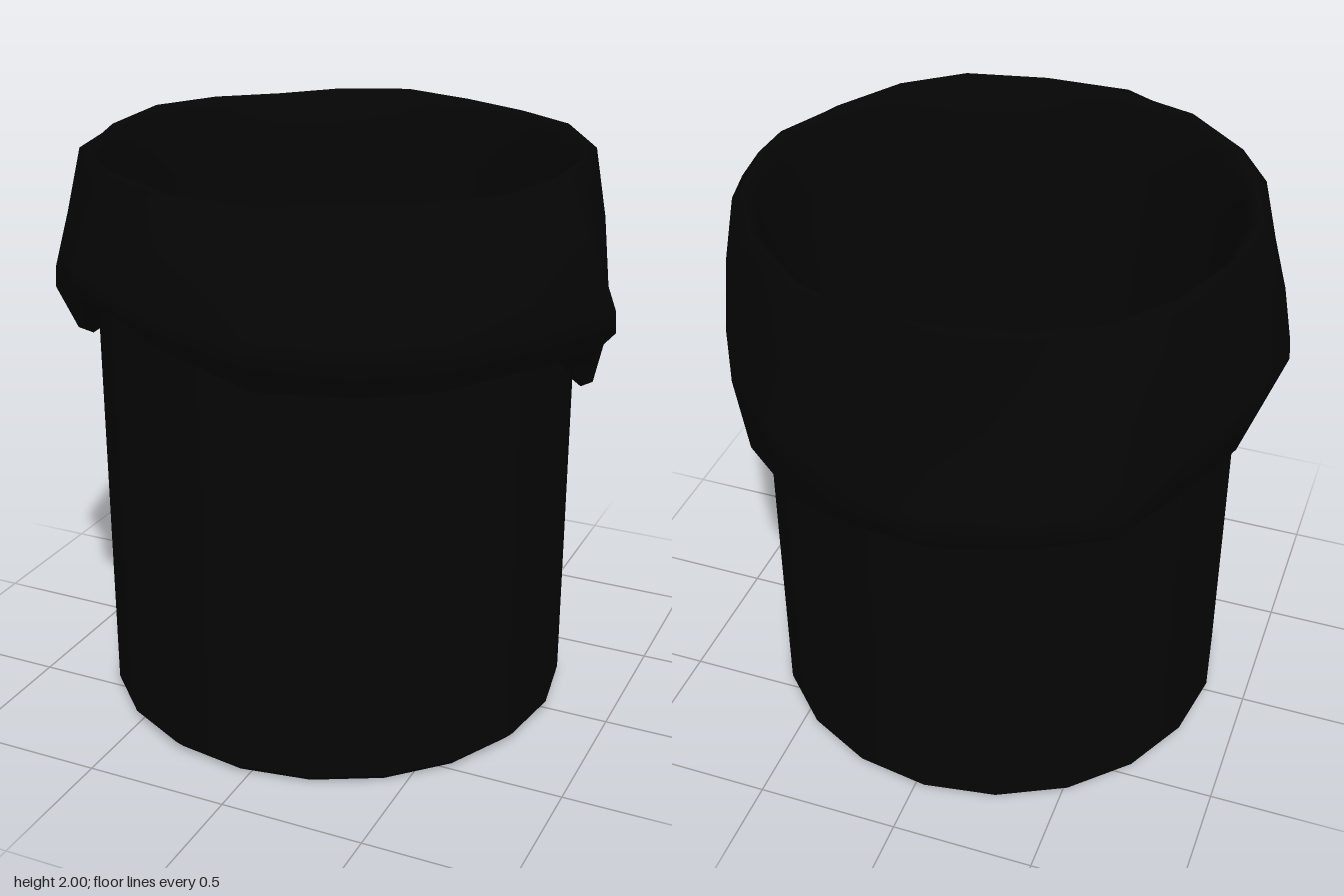
import * as THREE from 'three';

const CX = -0.04; // the bin sits slightly off centre under the lopsided bag
const RADIUS = 0.817;

// Bag stations around the bin:
// [angle in degrees from +x towards +z, widest radius, hem height, height of widest point, flare above it]
const STATIONS = [
  [0, 0.94, 1.27, 1.48, 0.5], [10, 1.055, 1.42, 1.56, 0.6], [27, 0.97, 1.41, 1.56, 0.55],
  [45, 0.97, 1.40, 1.56, 0.5], [62, 0.967, 1.40, 1.56, 0.5], [82, 0.975, 1.41, 1.57, 0.5],
  [102, 0.98, 1.50, 1.62, 0.5], [123, 0.99, 1.57, 1.68, 0.5], [140, 0.92, 1.44, 1.6, 0.4],
  [155, 0.97, 1.31, 1.52, 0.45], [174, 0.965, 1.27, 1.52, 0.5], [193, 0.944, 1.28, 1.5, 0.5],
  [212, 0.92, 1.27, 1.44, 0.5], [230, 1.015, 1.25, 1.38, 0.45], [246, 0.97, 1.22, 1.36, 0.15],
  [264, 0.975, 1.21, 1.36, 0], [281, 0.937, 1.20, 1.38, 0.05], [299, 0.945, 1.17, 1.44, 0.4],
  [320, 0.93, 1.16, 1.5, 0.6], [338, 0.925, 1.17, 1.5, 0.6], [350, 0.935, 1.19, 1.46, 0.5],
];

// Cross-section of the bag at one station, from under the hem, over the rim, to the bag floor
function bagSection(i, [, wide, hem, wideY, flare]) {
  const wobble = Math.sin(i * 2.4);
  const ripple = Math.cos(i * 1.7);
  return [
    [0.815, hem + 0.05],
    [0.85, hem],
    [Math.max(0.89, wide - 0.07), hem + 0.02],
    [wide, wideY - 0.04],
    [wide - 0.005, wideY + 0.03],
    [0.865 + (wide - 0.865) * flare, (wideY + 1.97) / 2],
    [0.86, 1.96 + 0.01 * wobble],
    [0.825, 1.985 + 0.01 * ripple],
    [0.785, 1.95],
    [0.76 + 0.01 * wobble, 1.75],
    [0.73 + 0.012 * ripple, 1.2],
    [0.69 + 0.012 * wobble, 0.7],
    [0.63 + 0.015 * ripple, 0.34],
    [0.58 + 0.015 * wobble, 0.28],
  ];
}

function bagGeometry() {
  const sections = STATIONS.map((s, i) => bagSection(i, s));
  const rows = sections[0].length;
  const n = STATIONS.length;
  const positions = [];
  const index = [];
  sections.forEach((section, i) => {
    const a = THREE.MathUtils.degToRad(STATIONS[i][0]);
    for (const [r, y] of section) positions.push(CX + r * Math.cos(a), y, r * Math.sin(a));
  });
  positions.push(CX, 0.27, 0);
  for (let i = 0; i < n; i++) {
    const p = i * rows;
    const q = ((i + 1) % n) * rows;
    for (let j = 0; j < rows - 1; j++) {
      index.push(p + j, p + j + 1, q + j, q + j, p + j + 1, q + j + 1);
    }
    index.push(p + rows - 1, n * rows, q + rows - 1);
  }
  const geometry = new THREE.BufferGeometry();
  geometry.setAttribute('position', new THREE.Float32BufferAttribute(positions, 3));
  geometry.setIndex(index);
  geometry.computeVertexNormals();
  return geometry;
}

export function createModel() {
  const group = new THREE.Group();
  const binBlack = new THREE.MeshStandardMaterial({ color: 0x050505, side: THREE.DoubleSide });
  binBlack.name = 'binBlack';

  const add = (name, geometry, x, y, z) => {
    const mesh = new THREE.Mesh(geometry, binBlack);
    mesh.name = name;
    mesh.position.set(x, y, z);
    group.add(mesh);
    return mesh;
  };

  // Bin body with a bevelled foot and flat base
  add('binWall', new THREE.CylinderGeometry(RADIUS, RADIUS, 1.87, 20, 1, true), CX, 0.965, 0.005);
  add('binFootBevel', new THREE.CylinderGeometry(RADIUS, RADIUS - 0.03, 0.03, 20, 1, true), CX, 0.015, 0.005);
  add('binBase', new THREE.CircleGeometry(RADIUS - 0.03, 20).rotateX(Math.PI / 2), CX, 0, 0.005);

  // Liner bag folded over the rim and hanging inside
  add('linerBag', bagGeometry(), 0, 0, 0);

  // Small gathered knot on the inside of the bag
  const knot = add('bagKnot', new THREE.SphereGeometry(0.06, 10, 6), -0.02, 0.36, -0.59);
  knot.scale.set(1, 0.8, 0.6);

  return group;
}
